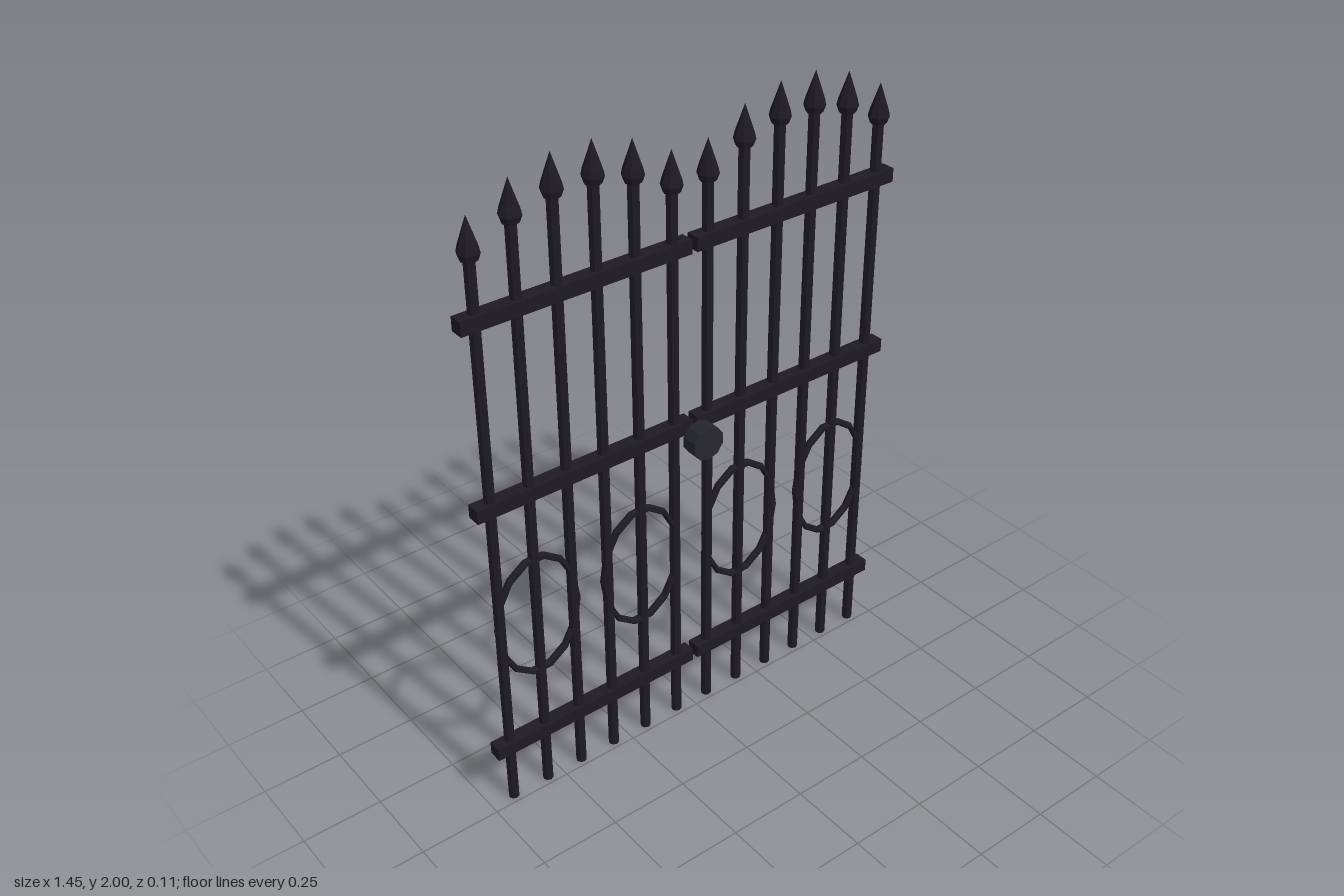
import * as THREE from 'three';

const iron = new THREE.MeshStandardMaterial({ color: 0x1e1a22, flatShading: true });
const lockIron = new THREE.MeshStandardMaterial({ color: 0x25262c, flatShading: true });
const Z = -0.027; // plane of the gate leaves

function add(parent, name, geometry, x, y, z, material = iron) {
  const mesh = new THREE.Mesh(geometry, material);
  mesh.name = name;
  mesh.position.set(x, y, z);
  parent.add(mesh);
  return mesh;
}

// One leaf; side is +1 (left) or -1 (right)
function createLeaf(side) {
  const leaf = new THREE.Group();
  leaf.name = side > 0 ? 'leftLeaf' : 'rightLeaf';

  // Upright bars with spearheads, rising to an arch in the middle of the leaf
  const tips = [1.905, 1.968, 2, 2, 1.968, 1.905];
  const spear = new THREE.LatheGeometry(
    [[0, -0.118], [0.024, -0.118], [0.031, -0.098], [0.027, -0.08], [0, 0]]
      .map(([r, y]) => new THREE.Vector2(r, y)), 8);
  tips.forEach((tip, i) => {
    const x = side * (0.06 + i * 0.1224);
    const height = tip - 0.11;
    add(leaf, 'bar', new THREE.CylinderGeometry(0.016, 0.016, height, 8), x, height / 2, Z);
    add(leaf, 'spearhead', spear, x, tip, Z);
  });

  // Cross rails
  const rail = new THREE.BoxGeometry(0.715, 0.042, 0.043);
  for (const y of [0.207, 1.056, 1.62]) add(leaf, 'rail', rail, side * 0.366, y, Z);

  // Oval rings
  const ring = new THREE.TorusGeometry(0.2, 0.012, 6, 14);
  for (const x of [0.186, 0.547]) {
    add(leaf, 'ovalRing', ring, side * x, 0.631, Z).scale.x = 0.675;
  }
  return leaf;
}

export function createModel() {
  const gate = new THREE.Group();
  gate.name = 'gate';
  gate.add(createLeaf(1), createLeaf(-1));

  // Round lock in front of the gap
  const lock = new THREE.CylinderGeometry(0.053, 0.053, 0.052, 10).rotateX(Math.PI / 2);
  add(gate, 'lock', lock, 0, 1.024, 0.031, lockIron);
  return gate;
}
